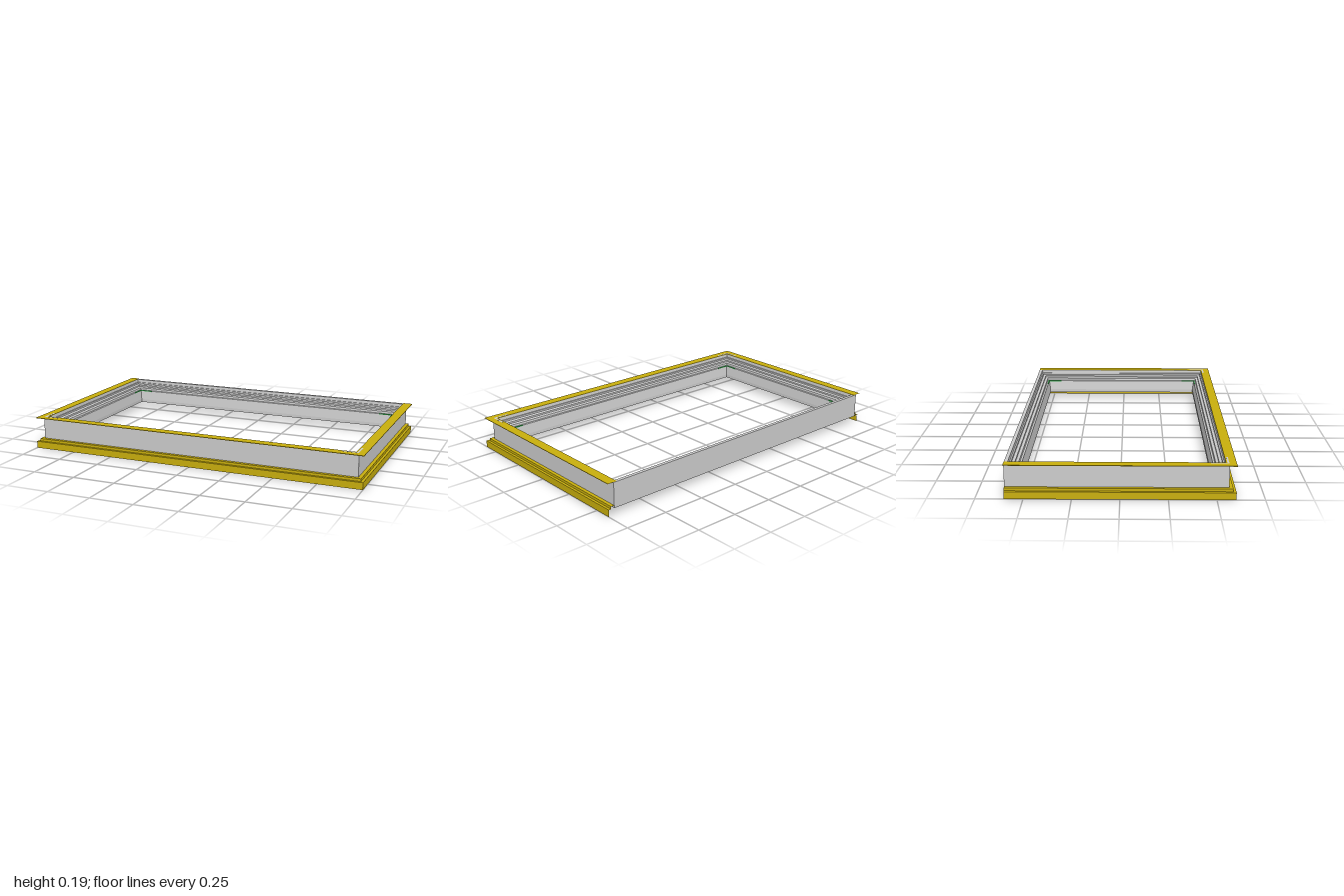
import * as THREE from 'three';

const grey = new THREE.MeshStandardMaterial({ color: 0xcccccc });
const yellow = new THREE.MeshStandardMaterial({ color: 0xc8ae0c });
const green = new THREE.MeshStandardMaterial({ color: 0x2f9a45 });

// Outer faces of the frame walls
const SIDE = 0.965, FRONT = 0.565, BACK = -0.6;

// Corner of the frame, inset by d
const corner = (sx, sz, d, y) =>
  new THREE.Vector3(sx * (SIDE - d), y, sz > 0 ? FRONT - d : BACK + d);

// Mitred sweep of a clockwise [inset, height] profile round the frame.
// An open sweep runs along the sides and front and is cut square at the back.
function sweep(profile, closed) {
  const corners = [[1, -1], [1, 1], [-1, 1], [-1, -1]];
  const rings = corners.map(([sx, sz]) => profile.map(([d, y]) => {
    const p = corner(sx, sz, d, y);
    if (!closed && sz < 0) p.z = BACK;
    return p;
  }));
  const pts = [];
  for (let i = 0; i < (closed ? 4 : 3); i++) {
    const r = rings[i], s = rings[(i + 1) % 4];
    for (let j = 0; j < profile.length; j++) {
      const k = (j + 1) % profile.length;
      pts.push(r[j], r[k], s[k], r[j], s[k], s[j]);
    }
  }
  if (!closed) {
    // end caps
    const flat = profile.map(([d, y]) => new THREE.Vector2(d, y));
    for (const t of THREE.ShapeUtils.triangulateShape(flat, [])) {
      const [a, b, c] = THREE.ShapeUtils.area(t.map(i => flat[i])) < 0 ? t : [t[0], t[2], t[1]];
      pts.push(rings[0][a], rings[0][b], rings[0][c]);
      pts.push(rings[3][a], rings[3][c], rings[3][b]);
    }
  }
  const geo = new THREE.BufferGeometry().setFromPoints(pts);
  geo.computeVertexNormals();
  return geo;
}

export function createModel() {
  const model = new THREE.Group();
  const add = (name, geo, mat) => {
    const mesh = new THREE.Mesh(geo, mat);
    mesh.name = name;
    model.add(mesh);
    return mesh;
  };

  // Main frame: plain outer wall, stepped inner face, grooved underside
  add('frame', sweep([
    [0, 0.04], [0, 0.184], [0.02, 0.184], [0.022, 0.165], [0.03, 0.165],
    [0.03, 0.155], [0.045, 0.15], [0.045, 0.14], [0.06, 0.135], [0.062, 0.122],
    [0.072, 0.12], [0.08, 0.06], [0.08, 0.04], [0.055, 0.04], [0.055, 0.048],
    [0.03, 0.048], [0.03, 0.04],
  ], true), grey);

  // Tapered top flange on sides and front
  add('topFlange', sweep([
    [-0.035, 0.183], [-0.035, 0.186], [0.02, 0.186], [0.02, 0.176], [0, 0.174],
  ], false), yellow);

  // Stepped bottom trim with a thin hanging lip
  add('bottomTrim', sweep([
    [-0.035, 0], [-0.035, 0.04], [-0.02, 0.04], [-0.02, 0.055], [0.001, 0.055],
    [0.001, 0.038], [-0.025, 0.036], [-0.025, 0],
  ], false), yellow);

  // L-shaped corner pieces: thin bars along x and z from an inset corner
  const lPiece = (name, mat, sx, sz, d, y, length, width, height) => {
    const p = corner(sx, sz, d, y);
    const alongX = add(name, new THREE.BoxGeometry(length, height, width), mat);
    alongX.position.set(p.x - sx * length / 2, y, p.z - sz * width / 2);
    const alongZ = add(name, new THREE.BoxGeometry(width, height, length), mat);
    alongZ.position.set(p.x - sx * width / 2, y, p.z - sz * length / 2);
  };
  for (const sx of [1, -1]) {
    lPiece('cornerPlate', grey, sx, 1, 0.003, 0.1855, 0.095, 0.01, 0.002);
    for (const sz of [1, -1]) lPiece('cornerKey', green, sx, sz, 0.066, 0.119, 0.09, 0.007, 0.006);
  }
  return model;
}
